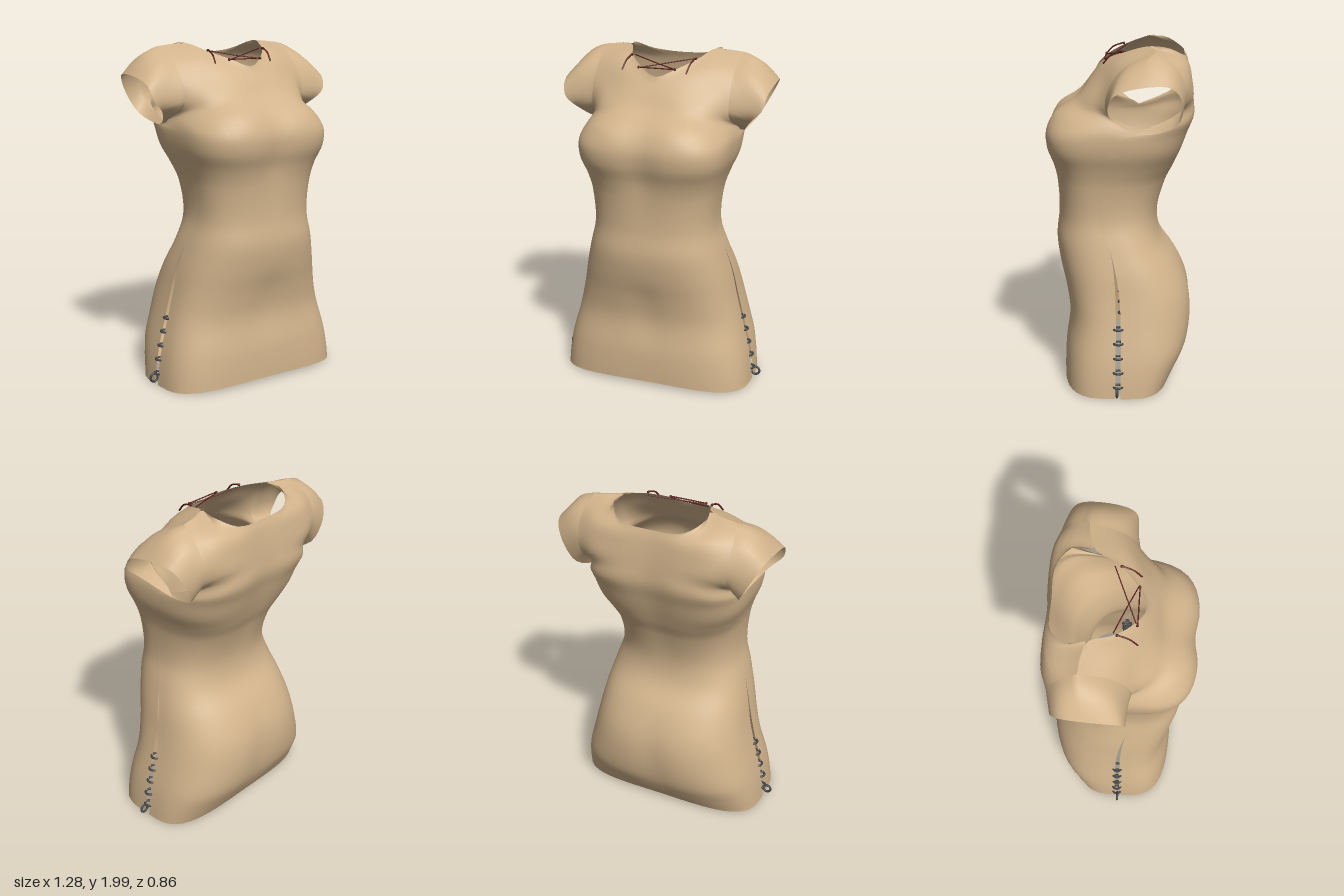
import * as THREE from 'three';

const V = (x, y, z) => new THREE.Vector3(x, y, z);
const cloth = new THREE.MeshStandardMaterial({ color: 0xd2b48c, side: THREE.DoubleSide });
const metal = new THREE.MeshStandardMaterial({ color: 0x45474a });
const cord = new THREE.MeshStandardMaterial({ color: 0x5e2420 });
const K = 16;  // columns per half panel
const Q = 4;   // subdivisions between two rows

// y, half width, front z, back z, side seam z, half gap of the side slit, boxiness, centre dip front, back
const sections = [
  [0.00, 0.59, 0.33, -0.30, 0.00, 0.015, 3.4, 0, 0],
  [0.10, 0.58, 0.33, -0.345, 0.00, 0.015, 3.3, 0, 0],
  [0.22, 0.56, 0.325, -0.405, 0.00, 0.015, 3.1, 0, 0.01],
  [0.40, 0.515, 0.305, -0.43, 0.00, 0.014, 2.8, 0.01, 0.015],
  [0.55, 0.48, 0.325, -0.41, 0.005, 0.012, 2.7, 0.01, 0.01],
  [0.70, 0.45, 0.36, -0.34, 0.02, 0.006, 2.6, 0, 0],
  [0.85, 0.41, 0.38, -0.24, 0.05, 0, 2.6, 0, 0],
  [1.00, 0.37, 0.365, -0.22, 0.09, 0, 2.6, 0, 0],
  [1.20, 0.38, 0.375, -0.275, 0.10, 0, 2.7, 0.01, 0.01],
  [1.30, 0.405, 0.395, -0.32, 0.075, 0, 3.0, 0.02, 0.01],
  [1.40, 0.44, 0.428, -0.36, 0.04, 0, 3.4, 0.025, 0.012],
  [1.50, 0.45, 0.432, -0.395, -0.01, 0, 3.5, 0.025, 0.015],
];

// rows above the armpit, from the centre to the armhole edge
const frontYoke = [
  [V(0, 1.60, 0.355), V(0.2, 1.60, 0.375), V(0.33, 1.60, 0.30), V(0.42, 1.58, 0.12), V(0.44, 1.54, -0.10)],
  [V(0, 1.69, 0.24), V(0.2, 1.69, 0.24), V(0.33, 1.68, 0.18), V(0.42, 1.65, 0.07)],
  [V(0, 1.78, 0.18), V(0.17, 1.79, 0.16), V(0.32, 1.80, 0.09), V(0.42, 1.79, 0.05)],
  [V(0, 1.83, 0.145), V(0.12, 1.86, 0.11), V(0.27, 1.91, 0.02), V(0.42, 1.90, -0.04)],
  [V(0, 1.86, 0.13), V(0.1, 1.90, 0.08), V(0.2, 1.95, -0.03), V(0.26, 1.99, -0.16), V(0.34, 1.985, -0.19), V(0.43, 1.975, -0.20)],
];
const backYoke = [
  [V(0, 1.60, -0.41), V(0.2, 1.60, -0.425), V(0.34, 1.59, -0.39), V(0.42, 1.57, -0.30), V(0.44, 1.54, -0.10)],
  [V(0, 1.70, -0.41), V(0.2, 1.70, -0.42), V(0.35, 1.70, -0.40), V(0.44, 1.66, -0.34)],
  [V(0, 1.80, -0.40), V(0.2, 1.80, -0.41), V(0.35, 1.80, -0.40), V(0.45, 1.78, -0.37)],
  [V(0, 1.88, -0.385), V(0.19, 1.89, -0.39), V(0.34, 1.91, -0.36), V(0.45, 1.90, -0.31)],
  [V(0, 1.92, -0.37), V(0.19, 1.935, -0.36), V(0.275, 1.985, -0.26), V(0.26, 1.99, -0.16), V(0.34, 1.985, -0.19), V(0.43, 1.975, -0.20)],
];

// sleeve opening, starting under the arm and running up the front and down the back
const cuff = [
  V(0.46, 1.53, -0.14), V(0.54, 1.625, 0.03), V(0.605, 1.69, 0.055), V(0.625, 1.77, 0.02),
  V(0.635, 1.82, -0.16), V(0.62, 1.81, -0.29), V(0.57, 1.72, -0.345), V(0.50, 1.59, -0.32),
];

// surface through a rectangular grid of points
function gridMesh(name, rows, flip) {
  const n = rows[0].length, index = [];
  for (let j = 0; j < rows.length - 1; j++) {
    for (let i = 0; i < n - 1; i++) {
      const a = j * n + i, b = a + 1, c = a + n, d = c + 1;
      index.push(...(flip ? [a, c, b, b, c, d] : [a, b, c, b, d, c]));
    }
  }
  const g = new THREE.BufferGeometry().setFromPoints(rows.flat());
  g.setIndex(index);
  g.computeVertexNormals();
  const mesh = new THREE.Mesh(g, cloth);
  mesh.name = name;
  return mesh;
}

// mirror half a row and space its points evenly
function fullRow(half) {
  const left = half.slice(1).reverse().map(p => V(-p.x, p.y, p.z));
  return new THREE.CatmullRomCurve3([...left, ...half]).getSpacedPoints(2 * K);
}

function sectionRow([y, w, f, b, seam, gap, n, dipF, dipB], side) {
  const half = [], N = 12;
  const z0 = seam + side * gap, depth = (side > 0 ? f : b) - z0;
  const dip = side > 0 ? dipF : dipB;
  for (let i = 0; i <= N; i++) {
    const a = (i / N) * Math.PI / 2;
    const x = w * Math.sin(a) ** (2 / n);
    const c = i === N ? 0 : Math.cos(a) ** (2 / n);
    const lift = y === 0 ? 0.025 * (1 - (x / w) ** 2) : 0;
    half.push(V(x, y + lift, z0 + depth * c - side * dip * Math.exp(-((x / 0.1) ** 2))));
  }
  return fullRow(half);
}

// rows of one panel, smoothed along its height
function panelRows(side) {
  const rows = [...sections.map(s => sectionRow(s, side)), ...(side > 0 ? frontYoke : backYoke).map(fullRow)];
  const count = (rows.length - 1) * Q;
  const columns = rows[0].map((_, i) => new THREE.CatmullRomCurve3(rows.map(r => r[i])).getPoints(count));
  return Array.from({ length: count + 1 }, (_, j) => columns.map(c => c[j]));
}

// cap sleeve from the armhole edge to the cuff
function sleeve(front, back, side) {
  const start = sections.length * Q;
  const edge = rows => rows.slice(start).map(r => r[2 * K]);
  const hole = [...edge(front), ...edge(back).reverse().slice(1)];
  const rim = new THREE.CatmullRomCurve3(cuff, true).getPoints(8 * Q);
  const rows = [];
  for (let j = 0; j <= 6; j++) {
    const t = j / 6;
    rows.push(hole.map((p, i) => {
      const q = p.clone().lerp(rim[i], t);
      const top = Math.max(0, -Math.cos((i / (8 * Q)) * 2 * Math.PI));
      q.y += 0.035 * top * Math.sin(Math.PI * t);
      q.x *= side;
      return q;
    }));
  }
  return gridMesh(side > 0 ? 'leftSleeve' : 'rightSleeve', rows, side > 0);
}

function lace(name, points, radius = 0.0035) {
  const curve = new THREE.CatmullRomCurve3(points);
  const mesh = new THREE.Mesh(new THREE.TubeGeometry(curve, 10, radius, 6), cord);
  mesh.name = name;
  return mesh;
}

export function createModel() {
  const dress = new THREE.Group();
  dress.name = 'dress';

  // cloth panels and sleeves
  const front = panelRows(1), back = panelRows(-1);
  dress.add(gridMesh('frontPanel', front, false), gridMesh('backPanel', back, true));
  for (const side of [1, -1]) dress.add(sleeve(front, back, side));

  // rings holding the side slits together
  for (const side of [1, -1]) {
    const rings = new THREE.Group();
    rings.name = side > 0 ? 'leftSlitRings' : 'rightSlitRings';
    [[0.07, 0.575], [0.155, 0.565], [0.237, 0.545], [0.32, 0.527], [0.40, 0.506]].forEach(([y, x]) => {
      const ring = new THREE.Mesh(new THREE.TorusGeometry(0.027, 0.007, 8, 20), metal);
      ring.name = 'slitRing';
      ring.rotation.x = Math.PI / 2;
      ring.position.set(side * (x - 0.005), y, 0);
      rings.add(ring);
    });
    const pull = new THREE.Mesh(new THREE.TorusGeometry(0.025, 0.007, 8, 24), metal);
    pull.name = 'hemRing';
    pull.position.set(side * 0.608, 0.05, 0.005);
    rings.add(pull);
    dress.add(rings);
  }

  // neckline lacing with two loose ends
  dress.add(
    lace('crossLace', [V(-0.19, 1.95, -0.035), V(-0.04, 1.922, 0.022), V(0.10, 1.90, 0.08)]),
    lace('crossLace', [V(0.19, 1.95, -0.05), V(0.04, 1.925, 0.015), V(-0.11, 1.90, 0.08)]),
    lace('straightLace', [V(-0.12, 1.902, 0.088), V(0.10, 1.902, 0.088)]),
    lace('looseEnd', [V(-0.20, 1.955, -0.012), V(-0.21, 1.93, 0.05), V(-0.22, 1.88, 0.095)], 0.005),
    lace('looseEnd', [V(0.19, 1.955, -0.012), V(0.18, 1.93, 0.05), V(0.17, 1.88, 0.095)], 0.005),
  );
  for (const [x, y, z] of [[-0.2, 1.952, -0.015], [0.19, 1.952, -0.015], [-0.12, 1.902, 0.086], [0.10, 1.902, 0.086]]) {
    const knot = new THREE.Mesh(new THREE.SphereGeometry(0.008, 10, 8), cord);
    knot.name = 'laceKnot';
    knot.position.set(x, y, z);
    dress.add(knot);
  }
  return dress;
}
